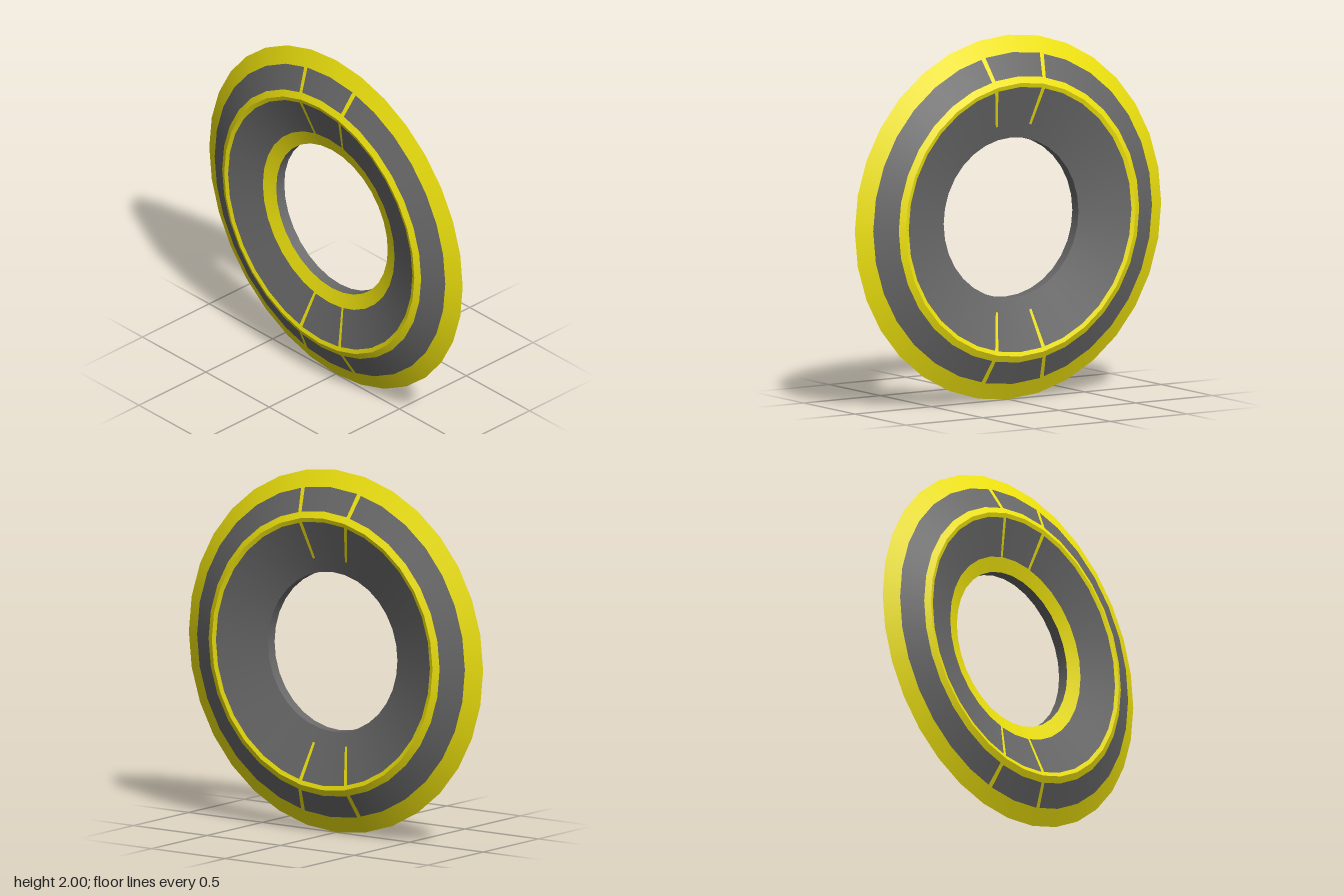
import * as THREE from 'three';
import { mergeGeometries } from 'three/addons/utils/BufferGeometryUtils.js';

const SIDES = 32;
const STRIP = 0.15; // strip width as a fraction of one facet
const yellow = new THREE.MeshStandardMaterial({ color: 0xf2e60e });
const grey = new THREE.MeshStandardMaterial({ color: 0x6a6a6a });

// Angular ranges, in facets counted from the top
const FULL = [[0, SIDES]];
const PANELS = [[-1, 1], [1 + STRIP, 15 - STRIP], [15, 17], [17 + STRIP, 31 - STRIP]];
const STRIPS = [[-1 - STRIP, -1], [1, 1 + STRIP], [15 - STRIP, 15], [17, 17 + STRIP]];

// Unit polygon point (y, z); fractions of a facet lie on its chord
function rim(t) {
  const i = Math.floor(t), f = t - i, s = (2 * Math.PI) / SIDES;
  return [
    Math.cos(i * s) * (1 - f) + Math.cos((i + 1) * s) * f,
    Math.sin(i * s) * (1 - f) + Math.sin((i + 1) * s) * f,
  ];
}

// Conical band between profile points [radius, x], over one angular range
function band([r0, x0], [r1, x1], [t0, t1]) {
  const stops = [t0];
  for (let t = Math.floor(t0) + 1; t < t1; t++) stops.push(t);
  stops.push(t1);
  const len = Math.hypot(r1 - r0, x1 - x0);
  const nr = (x1 - x0) / len, nx = (r0 - r1) / len;
  const pos = [], nor = [], idx = [];
  stops.forEach((t, k) => {
    const [y, z] = rim(t), m = Math.hypot(y, z);
    pos.push(x0, y * r0, z * r0, x1, y * r1, z * r1);
    for (let j = 0; j < 2; j++) nor.push(nx, (nr * y) / m, (nr * z) / m);
    if (k > 0) {
      const c = 2 * k, a = c - 2;
      idx.push(a, c, a + 1, c, c + 1, a + 1);
    }
  });
  const g = new THREE.BufferGeometry();
  g.setAttribute('position', new THREE.Float32BufferAttribute(pos, 3));
  g.setAttribute('normal', new THREE.Float32BufferAttribute(nor, 3));
  g.setIndex(idx);
  return g;
}

export function createModel() {
  const group = new THREE.Group();
  group.name = 'ring';

  const add = (name, material, p, q, ranges) => {
    const mesh = new THREE.Mesh(mergeGeometries(ranges.map((r) => band(p, q, r))), material);
    mesh.name = name;
    mesh.position.y = 1;
    group.add(mesh);
  };

  // Profile: outer bevel up to the ridge, then an inner cone down to the hole
  const outer = (r) => [r, (1 - r) / 2];
  const inner = (r) => [r, 0.125 - ((0.75 - r) * 0.095) / 0.31];

  for (const side of [1, -1]) {
    const label = side > 0 ? 'left' : 'right';
    const part = (name, material, p, q, ranges) => {
      if (side > 0) add(label + name, material, p, q, ranges);
      else add(label + name, material, [q[0], -q[1]], [p[0], -p[1]], ranges);
    };
    // Outer bevel
    part('OuterEdge', yellow, outer(1), outer(0.91), FULL);
    part('OuterPanels', grey, outer(0.91), outer(0.785), PANELS);
    part('OuterStrips', yellow, outer(0.91), outer(0.785), STRIPS);
    part('RidgeOuterTrim', yellow, outer(0.785), outer(0.75), FULL);
    // Inner cone
    part('RidgeInnerTrim', yellow, inner(0.75), inner(0.727), FULL);
    part('InnerPanels', grey, inner(0.727), inner(0.52), PANELS);
    part('InnerStrips', yellow, inner(0.727), inner(0.52), STRIPS);
    // The band around the hole is yellow on one side only
    part('HoleBand', side > 0 ? grey : yellow, inner(0.52), inner(0.44), FULL);
  }

  // Wall of the central hole
  add('holeWall', grey, [0.44, 0.03], [0.44, -0.03], FULL);
  return group;
}
